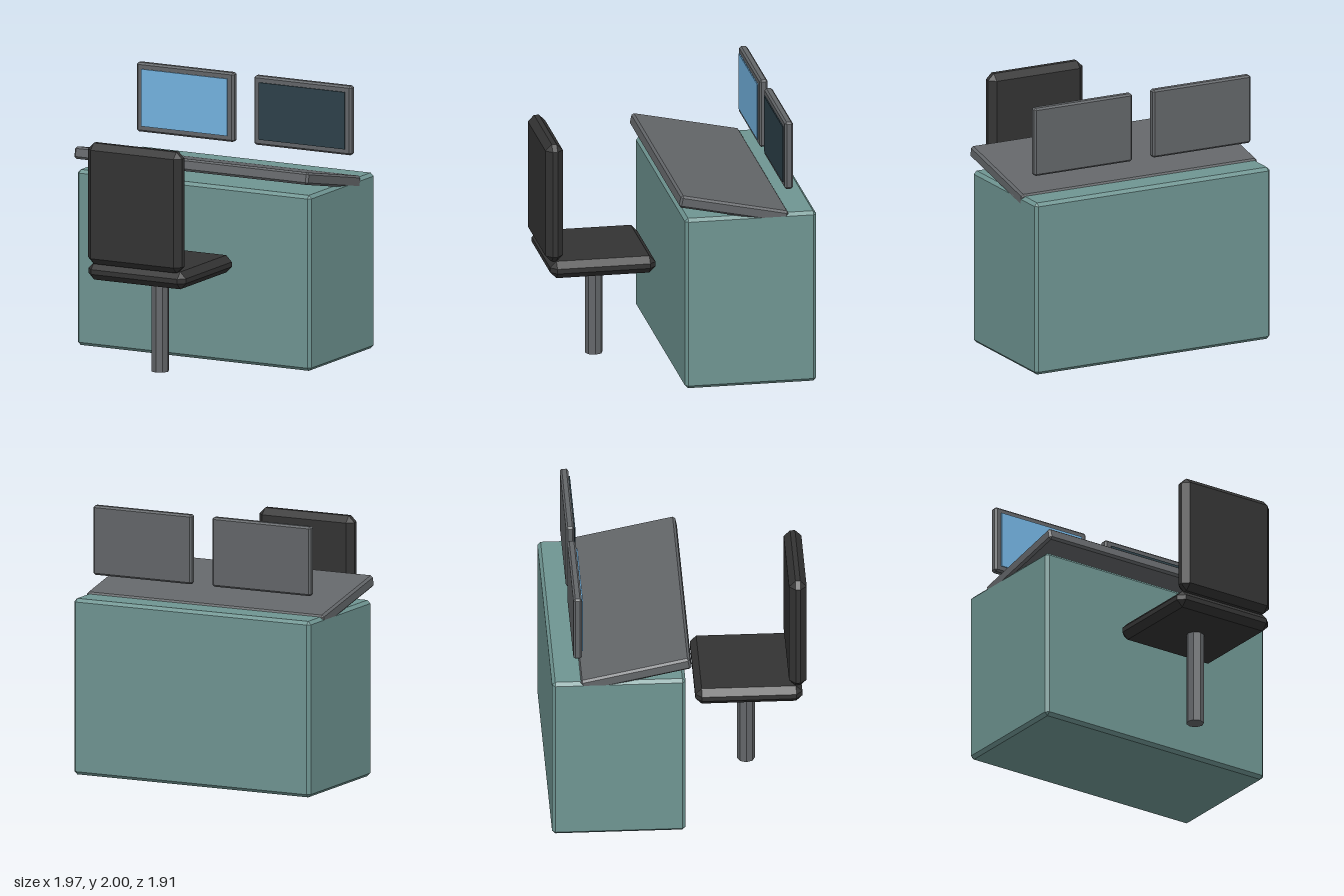
import * as THREE from 'three';
import { ConvexGeometry } from 'three/addons/geometries/ConvexGeometry.js';

const material = (color) => new THREE.MeshStandardMaterial({ color, flatShading: true });
const teal = material(0x6f9592);
const grey = material(0x636669);
const black = material(0x333333);
const litScreen = material(0x74b4e2);
const darkScreen = material(0x2d414a);

// Box with flat chamfers: three points around each corner
function chamferBox(w, h, d, b) {
  const points = [];
  for (const x of [-1, 1]) for (const y of [-1, 1]) for (const z of [-1, 1]) {
    for (let axis = 0; axis < 3; axis++) {
      const inset = [b, b, b];
      inset[axis] = 0;
      points.push(new THREE.Vector3(
        x * (w / 2 - inset[0]), y * (h / 2 - inset[1]), z * (d / 2 - inset[2])));
    }
  }
  return new ConvexGeometry(points);
}

function part(parent, name, geometry, mat, x, y, z) {
  const mesh = new THREE.Mesh(geometry, mat);
  mesh.name = name;
  mesh.position.set(x, y, z);
  parent.add(mesh);
  return mesh;
}

export function createModel() {
  const model = new THREE.Group();
  model.name = 'controlDesk';

  // Desk block with a sloping console on top
  part(model, 'deskBody', chamferBox(1.97, 1.32, 0.985, 0.024), teal, 0, 0.663, -0.46);
  const console_ = part(model, 'consolePanel', chamferBox(1.97, 0.092, 0.825, 0.016), grey, 0, 1.375, -0.333);
  console_.rotation.x = -0.21;

  // Two monitors with thin screens just in front of them
  const frame = chamferBox(0.82, 0.52, 0.062, 0.014);
  const screen = new THREE.BoxGeometry(0.725, 0.43, 0.008);
  for (const side of [-1, 1]) {
    const monitor = new THREE.Group();
    monitor.name = side > 0 ? 'leftMonitor' : 'rightMonitor';
    monitor.position.set(side * 0.495, 1.74, -0.76);
    part(monitor, 'monitorFrame', frame, grey, 0, 0, 0);
    part(monitor, 'screen', screen, side > 0 ? darkScreen : litScreen, 0, 0, 0.038);
    model.add(monitor);
  }

  // Chair on a single eight-sided post
  const chair = new THREE.Group();
  chair.name = 'chair';
  part(chair, 'seat', chamferBox(0.82, 0.13, 0.79, 0.047), black, 0, 0.78, 0.533);
  part(chair, 'backrest', chamferBox(0.79, 0.91, 0.13, 0.047), black, 0, 1.295, 0.895);
  part(chair, 'post', new THREE.CylinderGeometry(0.066, 0.066, 0.74, 8), grey, 0, 0.37, 0.532);
  model.add(chair);

  return model;
}
